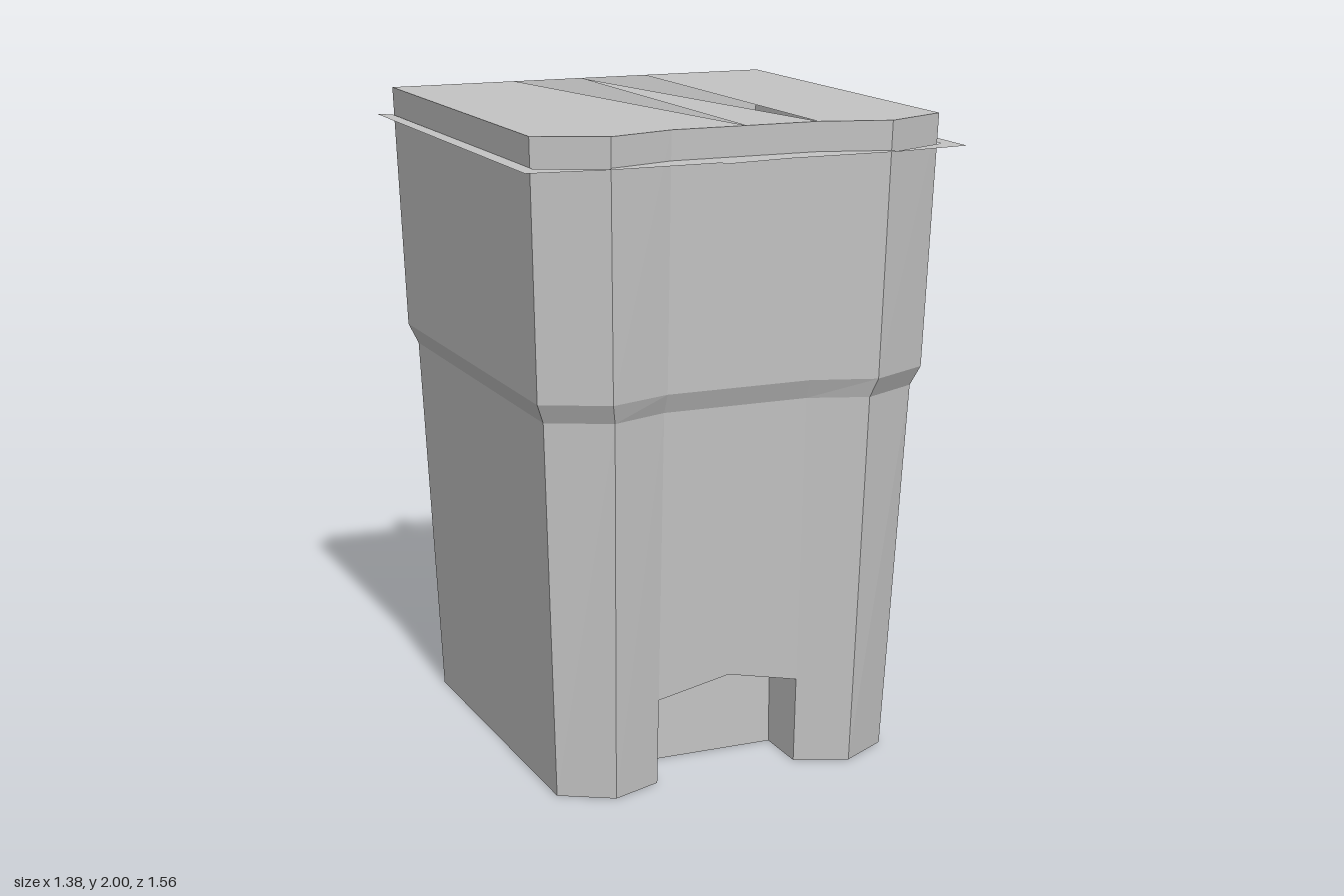
import * as THREE from 'three';

const NOTCH_X = 0.23, NOTCH_Z = 0.385, NOTCH_SIDE = 0.27, NOTCH_PEAK = 0.32;

// Body levels: height, side x, front corner x, front z, side corner z, back z
const LEVELS = [
  [0, 0.545, 0.39, 0.625, 0.535, -0.52],
  [1.17, 0.595, 0.41, 0.675, 0.585, -0.562],
  [1.23, 0.62, 0.425, 0.70, 0.605, -0.587],
  [2, 0.645, 0.44, 0.725, 0.63, -0.617],
];

// Plan outline of one level, starting with the recessed front panel
function ring([y, xs, xf, zf, zc, zb]) {
  const zr = zf - 0.063;
  return [[-NOTCH_X, zr], [NOTCH_X, zr], [xf, zf], [xs, zc], [xs, zb], [-xs, zb], [-xs, zc], [-xf, zf]]
    .map(([x, z]) => [x, y, z]);
}

function quads(list) {
  const pos = [];
  for (const [a, b, c, d] of list) pos.push(...a, ...b, ...c, ...a, ...c, ...d);
  const g = new THREE.BufferGeometry();
  g.setAttribute('position', new THREE.Float32BufferAttribute(pos, 3));
  g.computeVertexNormals();
  return g;
}

const shapeOf = (pts) => new THREE.Shape(pts.map(([a, b]) => new THREE.Vector2(a, b)));

// Flat sheets from [x, z] outlines, facing up or down
const sheetUp = (pts, y) =>
  new THREE.ShapeGeometry(shapeOf(pts.map(([x, z]) => [x, -z]))).rotateX(-Math.PI / 2).translate(0, y, 0);
const sheetDown = (pts, y) =>
  new THREE.ShapeGeometry(shapeOf(pts)).rotateX(Math.PI / 2).translate(0, y, 0);

// Plate from a [z, y] side profile, centred on x
function sidePlate(pts, x, width) {
  const g = new THREE.ExtrudeGeometry(shapeOf(pts.map(([z, y]) => [-z, y])), { depth: width, bevelEnabled: false });
  return g.translate(0, 0, -width / 2).rotateY(Math.PI / 2).translate(x, 0, 0);
}

export function createModel() {
  const group = new THREE.Group();
  const grey = new THREE.MeshStandardMaterial({ color: 0xc4c4c4, side: THREE.DoubleSide });
  grey.name = 'grey plastic';
  const add = (name, geometry) => {
    const m = new THREE.Mesh(geometry, grey);
    m.name = name;
    group.add(m);
  };

  // Tapered walls, leaving the lowest front panel for the pedal notch
  const rings = LEVELS.map(ring);
  const walls = [];
  for (let l = 0; l < 3; l++) {
    for (let i = 0; i < 8; i++) {
      if (l === 0 && i === 0) continue;
      const j = (i + 1) % 8;
      walls.push([rings[l][i], rings[l][j], rings[l + 1][j], rings[l + 1][i]]);
    }
  }
  add('walls', quads(walls));

  // Lower front panel leaning with the wall
  const z0 = rings[0][0][2], z1 = rings[1][0][2];
  const frontZ = (y) => z0 + (z1 - z0) * y / 1.17;
  const panel = new THREE.ShapeGeometry(shapeOf([
    [-NOTCH_X, NOTCH_SIDE], [0, NOTCH_PEAK], [NOTCH_X, NOTCH_SIDE], [NOTCH_X, 1.17], [-NOTCH_X, 1.17]]));
  const p = panel.attributes.position;
  for (let i = 0; i < p.count; i++) p.setZ(i, frontZ(p.getY(i)));
  panel.computeVertexNormals();
  add('lowerFrontPanel', panel);

  // Pedal notch: back, sides and ridged roof
  add('notchBack', new THREE.ShapeGeometry(shapeOf([
    [-NOTCH_X, 0], [NOTCH_X, 0], [NOTCH_X, NOTCH_SIDE], [0, NOTCH_PEAK], [-NOTCH_X, NOTCH_SIDE]]))
    .translate(0, 0, NOTCH_Z));
  const zs = frontZ(NOTCH_SIDE), zp = frontZ(NOTCH_PEAK), X = NOTCH_X, S = NOTCH_SIDE, Z = NOTCH_Z;
  add('notchSidesAndRoof', quads([
    [[-X, 0, z0], [-X, 0, Z], [-X, S, Z], [-X, S, zs]],
    [[X, 0, Z], [X, 0, z0], [X, S, zs], [X, S, Z]],
    [[-X, S, zs], [-X, S, Z], [0, NOTCH_PEAK, Z], [0, NOTCH_PEAK, zp]],
    [[0, NOTCH_PEAK, zp], [0, NOTCH_PEAK, Z], [X, S, Z], [X, S, zs]],
  ]));

  // Floor with the notch cut out
  const base = rings[0].map(([x, , z]) => [x, z]);
  add('floor', sheetDown([...base.slice(1), base[0], [-X, Z], [X, Z]], 0));

  // Top in three pieces, leaving two wedge-shaped openings
  const top = rings[3].map(([x, , z]) => [x, z]);
  const zf = top[0][1], zb = top[4][1];
  add('topRight', sheetUp([top[0], [0, zf], [-X, zb], top[5], top[6], top[7]], 2));
  add('topMiddle', sheetUp([[0, zf], [X, zf], [0, zb]], 2));
  add('topLeft', sheetUp([top[1], top[2], top[3], top[4], [X, zb]], 2));

  // Thin rim flange around the sides and front
  add('rimFlange', sheetUp([
    [-0.645, -0.62], [-0.687, -0.655], [-0.69, 0.72], [-0.45, 0.75], [-0.115, 0.75], [-0.115, 0.775],
    [0.1, 0.747], [0.45, 0.75], [0.69, 0.72], [0.687, -0.655], [0.645, -0.62],
    [0.642, 0.39], [0.642, 0.65], [0.45, 0.738], [0.435, 0.72], [X, 0.655],
    [-X, 0.655], [-0.435, 0.72], [-0.45, 0.738], [-0.642, 0.65], [-0.642, 0.39]], 1.912));

  // Hinge rod with three arms and three lid clips
  add('hingeRod', new THREE.CylinderGeometry(0.021, 0.021, 0.72, 8)
    .rotateZ(Math.PI / 2).translate(0.02, 1.89, -0.755));
  const arm = [[-0.595, 1.75], [-0.595, 1.83], [-0.68, 1.86], [-0.705, 1.89], [-0.722, 1.926],
    [-0.75, 1.94], [-0.776, 1.935], [-0.787, 1.9], [-0.784, 1.868], [-0.748, 1.836]];
  const clip = [[-0.69, 1.905], [-0.725, 1.925], [-0.69, 1.985], [-0.74, 1.965], [-0.782, 1.925],
    [-0.787, 1.885], [-0.765, 1.86], [-0.735, 1.865], [-0.722, 1.9]];
  const spike = [[-0.617, 1.908], [-0.628, 1.93], [-0.625, 1.98], [-0.637, 1.975], [-0.64, 1.93],
    [-0.7, 1.916], [-0.7, 1.906]];
  [-0.28, 0.03, 0.342].forEach((x, i) => {
    add('hingeArm' + (i + 1), sidePlate(arm, x, 0.024));
    add('lidClip' + (i + 1), sidePlate(clip, x - 0.028, 0.024));
    add('lidSpike' + (i + 1), sidePlate(spike, x - 0.028, 0.014));
  });

  return group;
}
